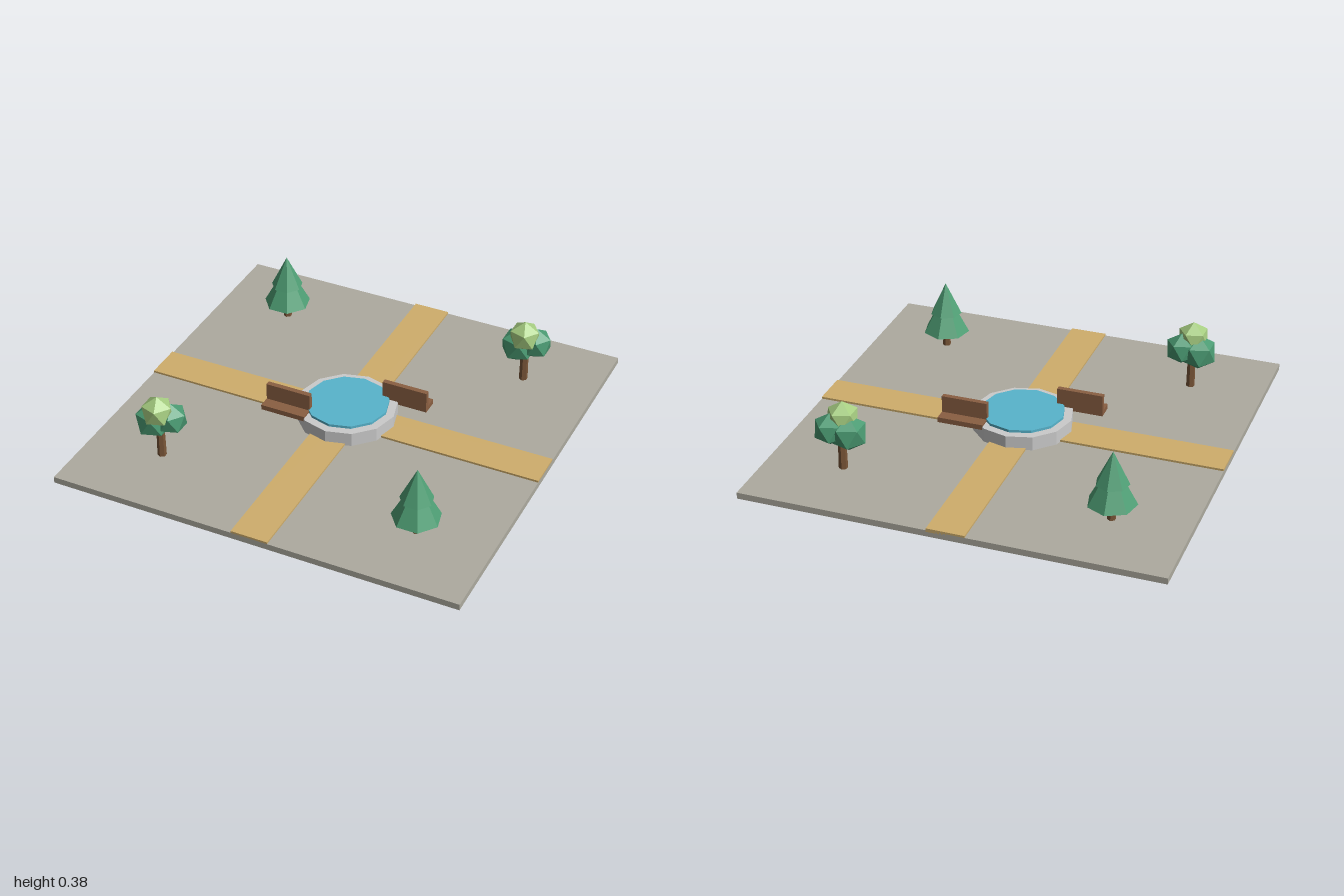
import * as THREE from 'three';

const mat = (color) => new THREE.MeshStandardMaterial({ color, flatShading: true });
const stone = mat(0xaeaba0), sand = mat(0xcfae6c), rimGrey = mat(0xcccccc), blue = mat(0x58b4cc);
const wood = mat(0x8a5f42), bark = mat(0x7a5638);
const pineGreen = mat(0x4f9f75), leafDark = mat(0x4a9a72), leafLight = mat(0xa5cc80);

function add(parent, name, geometry, material, x = 0, y = 0, z = 0) {
  const mesh = new THREE.Mesh(geometry, material);
  mesh.name = name;
  mesh.position.set(x, y, z);
  parent.add(mesh);
  return mesh;
}

function group(parent, name, x = 0, z = 0) {
  const g = new THREE.Group();
  g.name = name;
  g.position.set(x, 0, z);
  parent.add(g);
  return g;
}

// Box given by its vertical span
function slab(parent, name, material, w, d, y0, y1, x = 0, z = 0) {
  return add(parent, name, new THREE.BoxGeometry(w, y1 - y0, d), material, x, (y0 + y1) / 2, z);
}

// Prism, cone or frustum given by its vertical span
function round(parent, name, material, rTop, rBottom, y0, y1, sides) {
  const geometry = new THREE.CylinderGeometry(rTop, rBottom, y1 - y0, sides);
  return add(parent, name, geometry, material, 0, (y0 + y1) / 2, 0);
}

function pineTree(parent, x, z) {
  const tree = group(parent, 'pineTree', x, z);
  round(tree, 'trunk', bark, 0.018, 0.021, 0, 0.16, 6);
  // two stacked seven-sided cones, one corner to the back
  round(tree, 'lowerBranches', pineGreen, 0, 0.115, 0.12, 0.335, 7).rotation.y = Math.PI;
  round(tree, 'upperBranches', pineGreen, 0, 0.078, 0.22, 0.38, 7).rotation.y = Math.PI;
}

function leafyTree(parent, x, z) {
  const tree = group(parent, 'leafyTree', x, z);
  round(tree, 'trunk', bark, 0.019, 0.022, 0, 0.2, 6);
  // faceted clumps, each with a corner pointing up
  const clumps = [
    ['leftFoliage', leafDark, 0.091, -0.033, 0.228, 0],
    ['rightFoliage', leafDark, 0.08, 0.047, 0.245, -0.022],
    ['topFoliage', leafLight, 0.079, 0, 0.296, 0.017],
  ];
  for (const [name, material, r, cx, cy, cz] of clumps) {
    const geometry = new THREE.IcosahedronGeometry(r, 0);
    geometry.rotateZ(-Math.atan(2 / (1 + Math.sqrt(5))));
    add(tree, name, geometry, material, cx, cy, cz);
  }
}

// The backrest stands on the side nearest the middle of the square
function bench(parent, side) {
  const b = group(parent, side > 0 ? 'backBench' : 'frontBench', 0.243 * side, 0);
  slab(b, 'benchSeat', wood, 0.225, 0.08, 0.09, 0.115, 0, -0.155 * side);
  slab(b, 'benchBackrest', wood, 0.225, 0.025, 0.1, 0.198, 0, -0.125 * side);
}

export function createModel() {
  const model = new THREE.Group();
  model.name = 'parkSquare';

  // Paving and crossing paths
  slab(model, 'paving', stone, 2, 2, 0.007, 0.038);
  slab(model, 'pathAcross', sand, 2, 0.18, 0.03, 0.048);
  slab(model, 'pathAlong', sand, 0.18, 2, 0.03, 0.0478);

  // Round pool in the middle
  const pool = group(model, 'pool');
  round(pool, 'poolWall', rimGrey, 0.24, 0.24, 0.036, 0.107, 12);
  round(pool, 'water', blue, 0.2, 0.2, 0.09, 0.12, 12);

  // Benches and trees in opposite pairs
  for (const s of [-1, 1]) {
    bench(model, s);
    pineTree(model, 0.64 * s, 0.64 * s);
    leafyTree(model, 0.64 * s, -0.64 * s);
  }
  return model;
}
